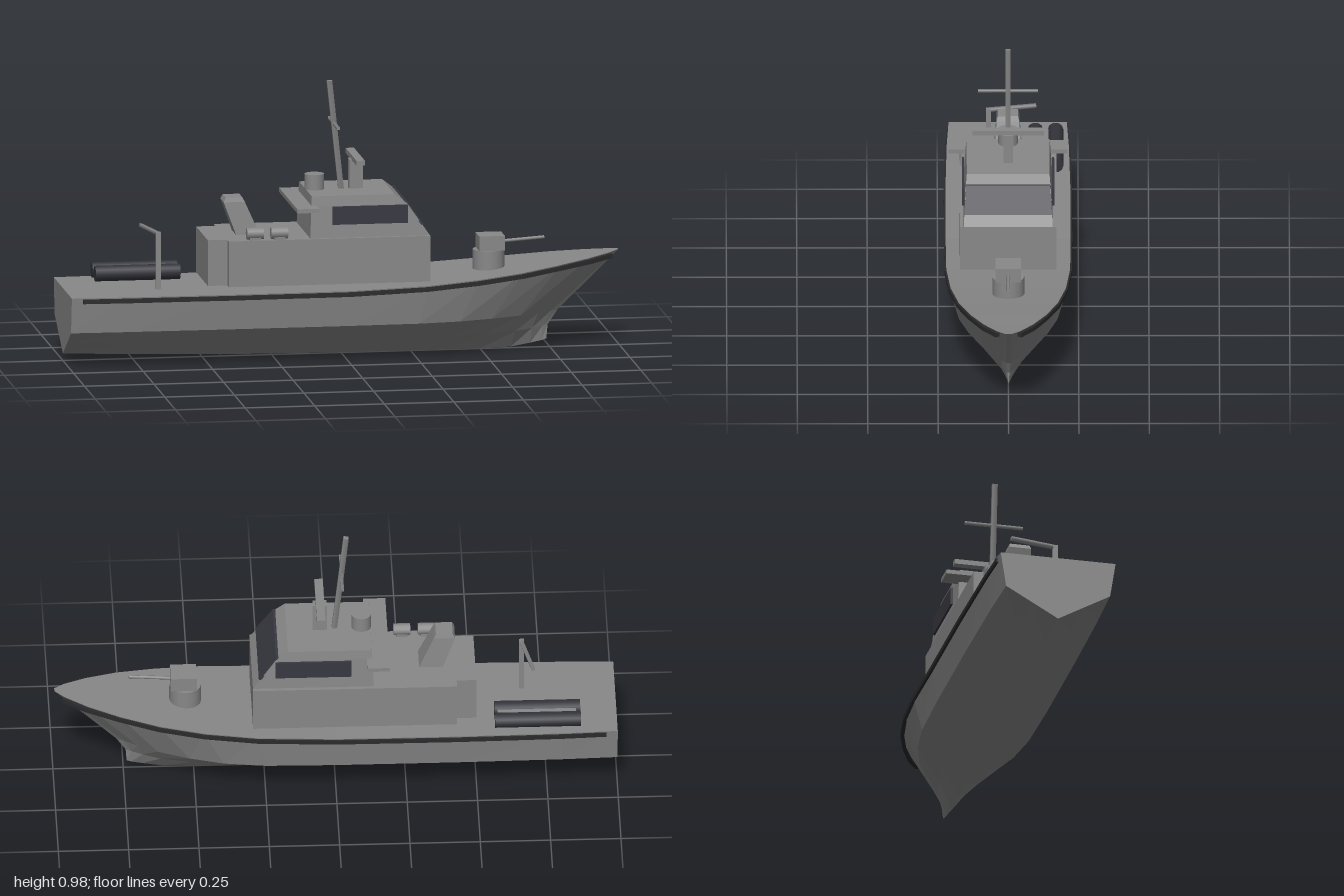
import * as THREE from 'three';

// Closed solid through cross-section rings that advance along +x
function loft(rings) {
  const pos = [], n = rings[0].length;
  const tri = (a, b, c) => pos.push(...a, ...b, ...c);
  for (let i = 0; i < rings.length - 1; i++) {
    for (let j = 0; j < n; j++) {
      const k = (j + 1) % n, a = rings[i], b = rings[i + 1];
      tri(a[j], b[j], b[k]);
      tri(a[j], b[k], a[k]);
    }
  }
  const cap = (r, flip) => {
    const t = (a, b, c) => (flip ? tri(r[a], r[c], r[b]) : tri(r[a], r[b], r[c]));
    let lo = 0, hi = n - 1;
    while (hi - lo > 1) {
      t(lo, lo + 1, hi);
      lo++;
      if (hi - lo > 1) t(lo, hi - 1, hi);
      hi--;
    }
  };
  cap(rings[0], false);
  cap(rings[rings.length - 1], true);
  const g = new THREE.BufferGeometry();
  g.setAttribute('position', new THREE.Float32BufferAttribute(pos, 3));
  g.computeVertexNormals();
  return g;
}

// Box with its own x range and half width at the bottom and the top
function taperedBox(y0, y1, [ax, bx, az], [cx, dx, cz]) {
  const g = new THREE.BoxGeometry(1, 1, 1).toNonIndexed(), p = g.attributes.position;
  for (let i = 0; i < p.count; i++) {
    const top = p.getY(i) > 0, front = p.getX(i) > 0, s = Math.sign(p.getZ(i));
    const x = top ? (front ? dx : cx) : (front ? bx : ax);
    p.setXYZ(i, x, top ? y1 : y0, s * (top ? cz : az));
  }
  g.computeVertexNormals();
  return g;
}

export function createModel() {
  const boat = new THREE.Group();
  boat.name = 'patrolBoat';
  const grey = new THREE.MeshStandardMaterial({ name: 'hullGrey', color: 0x888888 });
  const glass = new THREE.MeshStandardMaterial({ name: 'darkGlass', color: 0x383841 });
  const rubber = new THREE.MeshStandardMaterial({ name: 'blackRubber', color: 0x2b2b2d });
  const tube = new THREE.MeshStandardMaterial({ name: 'dinghyTube', color: 0x33343b });

  const add = (name, geo, mat = grey) => {
    const m = new THREE.Mesh(geo, mat);
    m.name = name;
    boat.add(m);
    return m;
  };
  // Box given by its ranges on each axis
  const box = (name, [x0, x1], [y0, y1], [z0, z1], mat) => {
    const m = add(name, new THREE.BoxGeometry(x1 - x0, y1 - y0, z1 - z0), mat);
    m.position.set((x0 + x1) / 2, (y0 + y1) / 2, (z0 + z1) / 2);
    return m;
  };
  // Straight bar or cylinder between two points
  const rod = (name, a, b, r, sides, mat) => {
    const p = new THREE.Vector3(...a), q = new THREE.Vector3(...b), d = q.clone().sub(p);
    const g = new THREE.CylinderGeometry(r, r, d.length(), sides);
    if (sides === 4) g.rotateY(Math.PI / 4);
    const m = add(name, g, mat);
    m.position.copy(p).add(q).multiplyScalar(0.5);
    m.quaternion.setFromUnitVectors(new THREE.Vector3(0, 1, 0), d.normalize());
    return m;
  };

  // Hull stations: deck x, deck y, deck half width, chine x, chine half width, keel x, keel y
  const stations = [
    [-1, 0.262, 0.21, -1, 0.19, -1, 0.025],
    [-0.8, 0.262, 0.217, -0.8, 0.196, -0.8, 0.018],
    [-0.43, 0.262, 0.222, -0.43, 0.2, -0.43, 0.006],
    [0, 0.263, 0.222, 0, 0.2, 0, 0.001],
    [0.28, 0.273, 0.22, 0.25, 0.195, 0.25, 0],
    [0.47, 0.287, 0.205, 0.4, 0.175, 0.38, 0],
    [0.63, 0.302, 0.176, 0.52, 0.14, 0.5, 0],
    [0.77, 0.319, 0.134, 0.63, 0.095, 0.61, 0.004],
    [0.88, 0.332, 0.087, 0.7, 0.055, 0.68, 0.016],
    [0.96, 0.342, 0.04, 0.75, 0.022, 0.72, 0.024],
    [0.995, 0.347, 0.009, 0.775, 0.008, 0.738, 0.03],
  ];
  add('hull', loft(stations.map(([dx, dy, dz, cx, cz, kx, ky], i) => {
    const lowX = kx + (cx - kx) * (i > 7 ? 0.1 : 0.5), lowY = (ky + 0.133) / 2;
    return [
      [kx, ky, 0], [lowX, lowY, cz / 2], [cx, 0.133, cz], [dx, dy, dz],
      [dx, dy, -dz], [cx, 0.133, -cz], [lowX, lowY, -cz / 2],
    ];
  })));

  // Rubbing strakes below the deck edge
  for (const s of [1, -1]) {
    const rings = stations.slice(0, -1).map(([x, y, z], i) => {
      const px = i === 0 ? -0.96 : x, push = x > 0.8 ? 0.008 : 0;
      const ring = [
        [px, y - 0.02, s * (z - 0.008)], [px + push, y - 0.02, s * (z + 0.006)],
        [px + push, y - 0.004, s * (z + 0.006)], [px, y - 0.004, s * (z - 0.008)],
      ];
      return s > 0 ? ring : ring.reverse();
    });
    add(s > 0 ? 'leftFender' : 'rightFender', loft(rings), rubber);
  }

  // Deckhouse and wheelhouse
  box('deckhouse', [-0.43, 0.295], [0.28, 0.445], [-0.172, 0.172]);
  box('deckhouseAft', [-0.5, -0.43], [0.28, 0.445], [-0.135, 0.135]);
  add('wheelhouse', taperedBox(0.445, 0.56, [-0.135, 0.295, 0.158], [-0.13, 0.215, 0.151]));
  add('wheelhouseRoof', taperedBox(0.56, 0.595, [-0.13, 0.215, 0.151], [-0.128, 0.17, 0.147]));
  add('frontWindow', taperedBox(0.483, 0.57, [0.264, 0.274, 0.156], [0.204, 0.213, 0.149]), glass);
  for (const s of [1, -1]) {
    box('sideWindow', [-0.055, 0.215], [0.493, 0.558], [s * 0.16 - 0.004, s * 0.16 + 0.004], glass);
  }
  box('bridgeWings', [-0.19, -0.11], [0.547, 0.562], [-0.212, 0.212]);

  // Roof equipment
  rod('satelliteDome', [-0.096, 0.595, 0], [-0.096, 0.65, 0], 0.035, 16);
  box('radarPedestal', [0.027, 0.077], [0.595, 0.7], [-0.017, 0.017]);
  box('radarBar', [0.036, 0.066], [0.697, 0.715], [-0.127, 0.127]);
  rod('mast', [0, 0.59, 0], [-0.042, 0.984, 0], 0.013, 4);
  rod('mastCrossarm', [-0.026, 0.83, -0.106], [-0.026, 0.83, 0.106], 0.007, 4);

  // Funnel and raft canisters
  add('funnel', taperedBox(0.445, 0.562, [-0.385, -0.3, 0.05], [-0.428, -0.352, 0.04]));
  add('funnelCap', taperedBox(0.562, 0.578, [-0.428, -0.352, 0.04], [-0.42, -0.36, 0.036]));
  for (const x of [-0.333, -0.246]) {
    rod('raftCanister', [x - 0.03, 0.468, 0.152], [x + 0.03, 0.468, 0.152], 0.021, 12);
    box('canisterCradle', [x - 0.02, x + 0.02], [0.445, 0.455], [0.135, 0.168]);
  }

  // Dinghy on the aft deck
  for (const z of [-0.17, -0.098]) {
    rod('dinghyTube', [-0.87, 0.292, z], [-0.565, 0.292, z], 0.028, 10, tube);
  }
  box('dinghyFloor', [-0.86, -0.575], [0.268, 0.296], [-0.16, -0.108], tube);
  box('dinghyBench', [-0.855, -0.575], [0.296, 0.304], [-0.145, -0.122]);

  // Davit
  box('davitPost', [-0.677, -0.66], [0.258, 0.468], [0.06, 0.077]);
  rod('davitArm', [-0.704, 0.462, -0.1], [-0.668, 0.462, 0.07], 0.009, 4);

  // Foredeck gun
  rod('gunBase', [0.53, 0.29, 0], [0.53, 0.36, 0], 0.057, 16);
  box('gunTurret', [0.49, 0.582], [0.36, 0.413], [-0.045, 0.045]);
  rod('gunBarrel', [0.57, 0.386, 0], [0.73, 0.397, 0], 0.006, 8);

  return boat;
}
